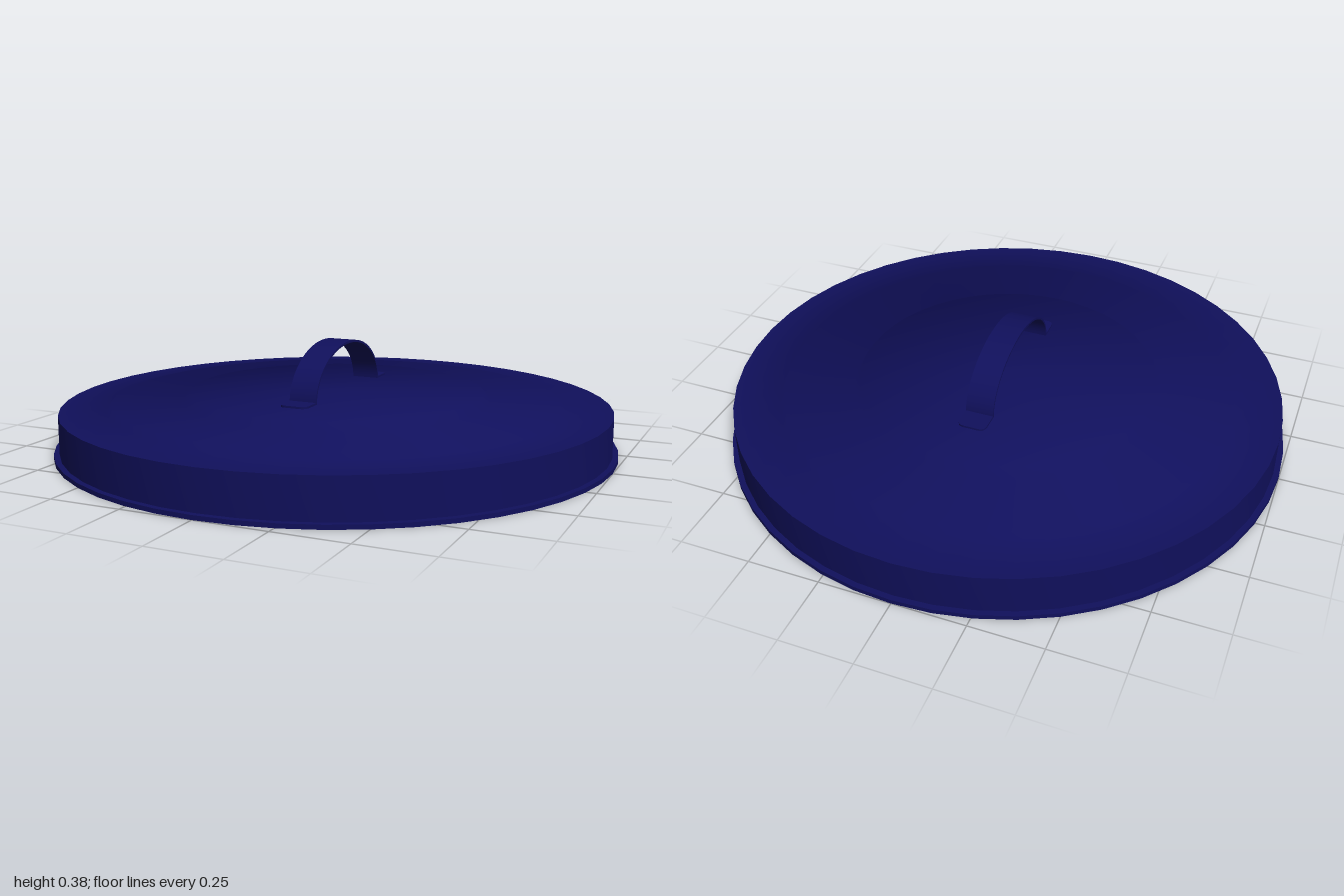
import * as THREE from 'three';
import { toCreasedNormals } from 'three/addons/utils/BufferGeometryUtils.js';

const WIDTH = 0.1; // handle strap width

export function createModel() {
  const group = new THREE.Group();
  group.name = 'lid';
  const material = new THREE.MeshStandardMaterial({ color: 0x10105c });

  const add = (name, geometry, crease) => {
    const mesh = new THREE.Mesh(toCreasedNormals(geometry, crease), material);
    mesh.name = name;
    group.add(mesh);
    return mesh;
  };

  // Lid body: hollow underside, thick wall, bottom lip, two raised steps
  const profile = [
    [0, 0.12], [0.91, 0.12], [0.91, 0], [1, 0], [1, 0.015], [0.98, 0.015],
    [0.98, 0.152], [0.815, 0.152], [0.8, 0.172], [0.55, 0.172], [0.53, 0.2], [0, 0.2],
  ].map(([r, y]) => new THREE.Vector2(r, y));
  add('lidBody', new THREE.LatheGeometry(profile, 48), 1.1);

  // Handle: thin half-ellipse strap, drawn in the z-y plane
  const strap = new THREE.Shape();
  strap.moveTo(0.274, 0.198);
  strap.absellipse(0, 0.198, 0.274, 0.182, 0, Math.PI, false);
  strap.lineTo(-0.267, 0.198);
  strap.absellipse(0, 0.198, 0.267, 0.174, Math.PI, 0, true);
  strap.closePath();
  const strapGeometry = new THREE.ExtrudeGeometry(strap, {
    depth: WIDTH, bevelEnabled: false, curveSegments: 24,
  });
  strapGeometry.translate(0, 0, -WIDTH / 2).rotateY(-Math.PI / 2);
  add('handleStrap', strapGeometry, 0.6);

  // Handle feet: flat tabs with rounded outer corners
  const w = WIDTH / 2, end = 0.355, r = 0.025;
  const foot = new THREE.Shape();
  foot.moveTo(-w, 0.267);
  foot.lineTo(w, 0.267);
  foot.lineTo(w, end - r);
  foot.quadraticCurveTo(w, end, w - r, end);
  foot.lineTo(-w + r, end);
  foot.quadraticCurveTo(-w, end, -w, end - r);
  foot.closePath();
  for (const [name, turn] of [['frontFoot', 0], ['backFoot', Math.PI]]) {
    const geometry = new THREE.ExtrudeGeometry(foot, {
      depth: 0.01, bevelEnabled: false, curveSegments: 6,
    });
    geometry.rotateX(Math.PI / 2).translate(0, 0.207, 0).rotateY(turn);
    add(name, geometry, 0.6);
  }

  return group;
}
